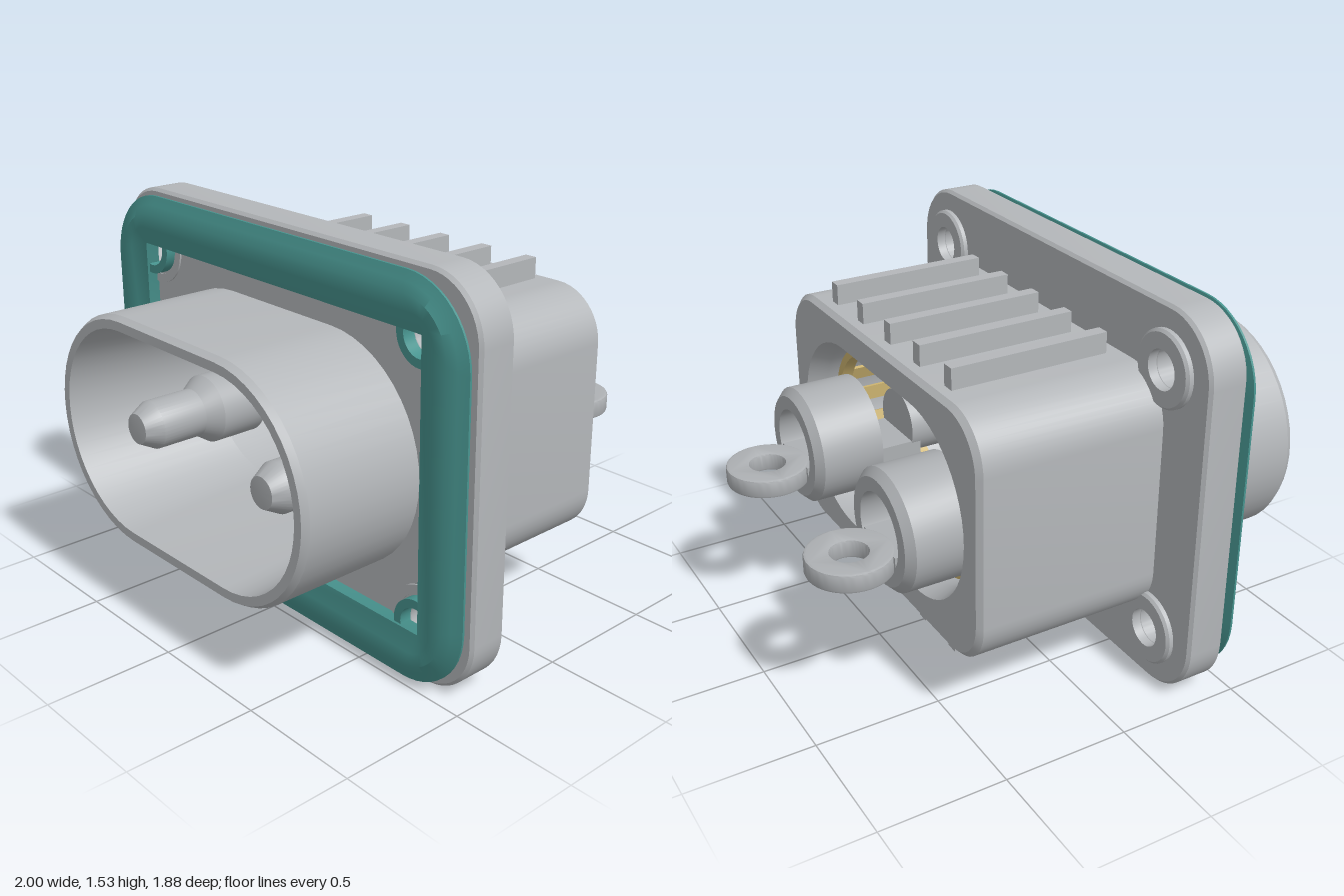
import * as THREE from 'three';
import { toCreasedNormals } from 'three/addons/utils/BufferGeometryUtils.js';

const CY = 0.765; // height of the housing axis

// Points of a rounded rectangle, counter-clockwise
function roundRect(hw, hh, r, n = 12) {
  const pts = [];
  const corners = [[1, 1], [-1, 1], [-1, -1], [1, -1]];
  corners.forEach(([sx, sy], c) => {
    for (let i = 0; i <= n; i++) {
      const a = (c + i / n) * Math.PI / 2;
      pts.push(new THREE.Vector2(sx * (hw - r) + r * Math.cos(a), sy * (hh - r) + r * Math.sin(a)));
    }
  });
  return pts;
}

// Skin through a closed loop of sections [z, halfWidth, halfHeight, radius]
function loftLoop(sections) {
  const pos = [], idx = [];
  const rings = sections.map(([, hw, hh, r]) => roundRect(hw, hh, r));
  const n = rings[0].length, m = rings.length;
  rings.forEach((ring, k) => ring.forEach(p => pos.push(p.x, p.y + CY, sections[k][0])));
  for (let k = 0; k < m; k++) {
    const a = k * n, b = ((k + 1) % m) * n;
    for (let i = 0; i < n; i++) {
      const j = (i + 1) % n;
      idx.push(a + i, a + j, b + j, a + i, b + j, b + i);
    }
  }
  const g = new THREE.BufferGeometry();
  g.setAttribute('position', new THREE.Float32BufferAttribute(pos, 3));
  g.setIndex(idx);
  return toCreasedNormals(g, 0.5);
}

// Lathe about the z axis from [radius, z] points, listed with rising z on the outside
function latheZ(points) {
  const g = new THREE.LatheGeometry(points.map(([r, z]) => new THREE.Vector2(r, z)), 40);
  g.rotateX(Math.PI / 2);
  return toCreasedNormals(g, 0.5);
}

function tubeZ(outer, inner, z0, z1, c = 0.01) {
  return latheZ([[inner, z0], [outer - c, z0], [outer, z0 + c], [outer, z1], [inner, z1], [inner, z0]]);
}

export function createModel() {
  const model = new THREE.Group();
  model.name = 'panelConnector';
  const mat = (name, color) => {
    const m = new THREE.MeshStandardMaterial({ color });
    m.name = name;
    return m;
  };
  const grey = mat('housing grey', 0xb4b7ba);
  const metal = mat('pin grey', 0xadb0b3);
  const teal = mat('seal teal', 0x48948f);
  const gold = mat('contact gold', 0xccb370);
  const add = (name, geo, material, x = 0, y = 0, z = 0, parent = model) => {
    const mesh = new THREE.Mesh(geo, material);
    mesh.name = name;
    mesh.position.set(x, y, z);
    parent.add(mesh);
    return mesh;
  };
  const screws = [];
  for (const sx of [-1, 1]) for (const sy of [-1, 1]) screws.push([sx * 0.765, sy * 0.535]);

  // Mounting flange with bore and screw holes
  const bevel = 0.012;
  const plate = new THREE.Shape(roundRect(1 - bevel, 0.765 - bevel, 0.22));
  plate.holes.push(new THREE.Path(roundRect(0.66, 0.38, 0.38).reverse()));
  for (const [x, y] of screws) plate.holes.push(new THREE.Path().absarc(x, y, 0.085, 0, Math.PI * 2, true));
  const flange = new THREE.ExtrudeGeometry(plate, {
    depth: 0.16 - 2 * bevel, bevelThickness: bevel, bevelSize: bevel, bevelSegments: 1, curveSegments: 24,
  });
  add('flange', toCreasedNormals(flange, 0.5), grey, 0, CY, 0.275 + bevel);

  // Screw bosses behind, and raised washers and seal rims in front
  for (const [x, y] of screws) {
    add('screwBoss', tubeZ(0.145, 0.075, 0.248, 0.29), grey, x, CY + y);
    add('screwRim', tubeZ(0.15, 0.115, 0.42, 0.442, 0.003), grey, x, CY + y);
    add('sealRim', tubeZ(0.108, 0.075, 0.42, 0.475), teal, x, CY + y);
  }

  // Seal frame with a thin outer lip
  add('seal', loftLoop([
    [0.43, 0.94, 0.7, 0.24], [0.455, 0.945, 0.705, 0.24], [0.47, 0.995, 0.75, 0.29], [0.478, 0.995, 0.75, 0.29],
    [0.492, 0.955, 0.715, 0.25], [0.508, 0.92, 0.68, 0.2], [0.508, 0.86, 0.62, 0.1],
    [0.485, 0.785, 0.55, 0.004], [0.43, 0.785, 0.55, 0.004],
  ]), teal);

  // Front shroud with a tapered inside
  add('shroud', loftLoop([
    [0.3, 0.735, 0.45, 0.45], [0.915, 0.735, 0.45, 0.45], [0.94, 0.72, 0.435, 0.435],
    [0.94, 0.685, 0.4, 0.4], [0.3, 0.635, 0.355, 0.355],
  ]), grey);

  // Rear housing, open right through
  add('rearHousing', loftLoop([
    [-0.475, 0.745, 0.48, 0.19], [-0.455, 0.765, 0.498, 0.2], [0.3, 0.765, 0.498, 0.2],
    [0.3, 0.635, 0.355, 0.355], [-0.4, 0.635, 0.355, 0.355], [-0.475, 0.665, 0.385, 0.385],
  ]), grey);

  // Grip ribs above and below
  for (let i = -2; i <= 2; i++) for (const s of [-1, 1]) {
    add('rib', new THREE.BoxGeometry(0.05, 0.1, 0.635), grey, i * 0.228, CY + s * 0.53, -0.0975);
  }

  // Contact cage: two rings joined by slats
  const cage = new THREE.Group();
  cage.name = 'contactCage';
  model.add(cage);
  for (const z of [-0.36, -0.07]) {
    add('cageRing', loftLoop([
      [z, 0.62, 0.34, 0.34], [z + 0.05, 0.62, 0.34, 0.34], [z + 0.05, 0.588, 0.308, 0.308], [z, 0.588, 0.308, 0.308],
    ]), gold, 0, 0, 0, cage);
  }
  const path = new THREE.Shape(roundRect(0.618, 0.338, 0.338));
  path.closePath();
  const spots = path.getSpacedPoints(28);
  for (let i = 0; i < 28; i++) {
    const p = spots[i], q = spots[(i + 1) % 28], o = spots[(i + 27) % 28];
    const slat = add('cageSlat', new THREE.BoxGeometry(0.06, 0.014, 0.26), gold, p.x, CY + p.y, -0.19, cage);
    slat.rotation.z = Math.atan2(q.y - o.y, q.x - o.x);
  }

  // Small signal contact block
  add('signalBlock', new THREE.BoxGeometry(0.32, 0.13, 0.12), gold, 0, 0.985, 0);
  for (const x of [-0.08, 0.08]) {
    add('signalPin', latheZ([[0.028, 0], [0.028, 0.15], [0.02, 0.17], [0, 0.178]]), gold, x, 0.985, 0.05);
  }

  // Power terminals: pin, strap, rear sleeve and eyelet lug
  const eye = new THREE.Shape().absarc(0, 0, 0.163, 0, Math.PI * 2);
  eye.holes.push(new THREE.Path().absarc(0, 0, 0.07, 0, Math.PI * 2, true));
  const lug = new THREE.ExtrudeGeometry(eye, {
    depth: 0.055, bevelThickness: 0.01, bevelSize: 0.01, bevelOffset: -0.01, bevelSegments: 2, curveSegments: 32,
  });
  lug.rotateX(Math.PI / 2);
  const lugGeo = toCreasedNormals(lug, 0.6);
  for (const x of [-0.38, 0.38]) {
    const terminal = new THREE.Group();
    terminal.name = 'powerTerminal';
    terminal.position.set(x, 0.73, 0);
    model.add(terminal);
    add('pin', latheZ([
      [0, -0.2], [0.135, -0.2], [0.135, 0.2], [0.105, 0.23], [0.105, 0.29], [0.135, 0.33],
      [0.135, 0.52], [0.095, 0.58], [0.095, 0.77], [0.06, 0.835], [0, 0.84],
    ]), metal, 0, 0, 0, terminal);
    add('strap', new THREE.BoxGeometry(0.25, 0.07, 0.5), metal, 0, -0.078, -0.41, terminal);
    add('sleeve', tubeZ(0.234, 0.15, -0.66, -0.38, 0.03), metal, 0, 0, 0, terminal);
    add('lug', lugGeo, metal, 0, -0.051, -0.777, terminal);
  }
  return model;
}
